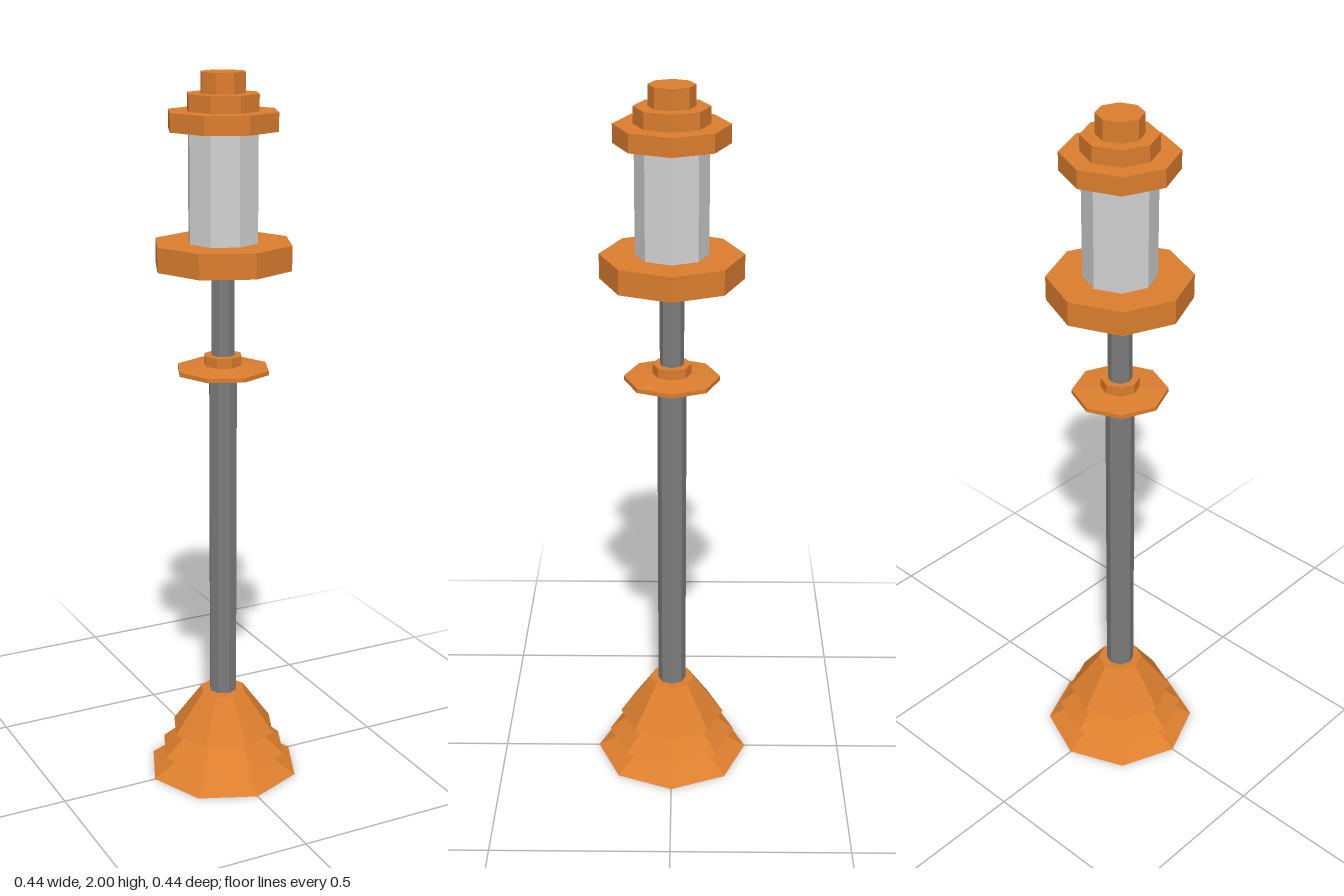
import * as THREE from 'three';

const SIDES = 8;

export function createModel() {
  const model = new THREE.Group();
  model.name = 'lampPost';

  const mat = (name, color) => {
    const m = new THREE.MeshStandardMaterial({ color, flatShading: true });
    m.name = name;
    return m;
  };
  const copper = mat('copper orange', 0xdc7e2e);
  const iron = mat('iron grey', 0x7c7c7c);
  const glass = mat('pale grey glass', 0xd2d2d2);

  // Octagonal turned part; profile is [radius, y] from bottom to top
  const turned = (name, material, profile) => {
    const points = profile.map(([r, y]) => new THREE.Vector2(r, y));
    const mesh = new THREE.Mesh(new THREE.LatheGeometry(points, SIDES), material);
    mesh.name = name;
    model.add(mesh);
  };
  // Straight octagonal prism, closed on top and optionally below
  const prism = (name, material, r, y0, y1, bottom = true) =>
    turned(name, material, [...(bottom ? [[0, y0]] : []), [r, y0], [r, y1], [0, y1]]);

  // Stepped foot with overhanging skirts
  turned('base', copper, [
    [0.22, 0], [0.12, 0.06], [0.185, 0.06], [0.11, 0.125],
    [0.152, 0.125], [0.065, 0.245], [0, 0.245],
  ]);
  turned('baseUnderside', glass, [[0, 0], [0.22, 0]]);

  // Pole in two thicknesses
  prism('lowerPole', iron, 0.04, 0.24, 1.2);
  prism('upperPole', iron, 0.033, 1.2, 1.48);

  // Collar disc and ring
  turned('collarDisc', copper, [[0, 1.188], [0.04, 1.189], [0.131, 1.197], [0.131, 1.209], [0.053, 1.217], [0, 1.217]]);
  prism('collarRing', copper, 0.053, 1.215, 1.245);

  // Gallery under the lantern
  turned('gallery', copper, [[0, 1.465], [0.033, 1.467], [0.193, 1.487], [0.193, 1.555], [0, 1.555]]);

  // Lantern glass
  prism('lanternGlass', glass, 0.098, 1.555, 1.849, false);

  // Stepped cap and finial
  prism('cap', copper, 0.153, 1.85, 1.9, false);
  turned('capUnderside', glass, [[0, 1.85], [0.153, 1.85]]);
  prism('capStep', copper, 0.1, 1.9, 1.945, false);
  prism('finial', copper, 0.062, 1.945, 2, false);

  return model;
}
